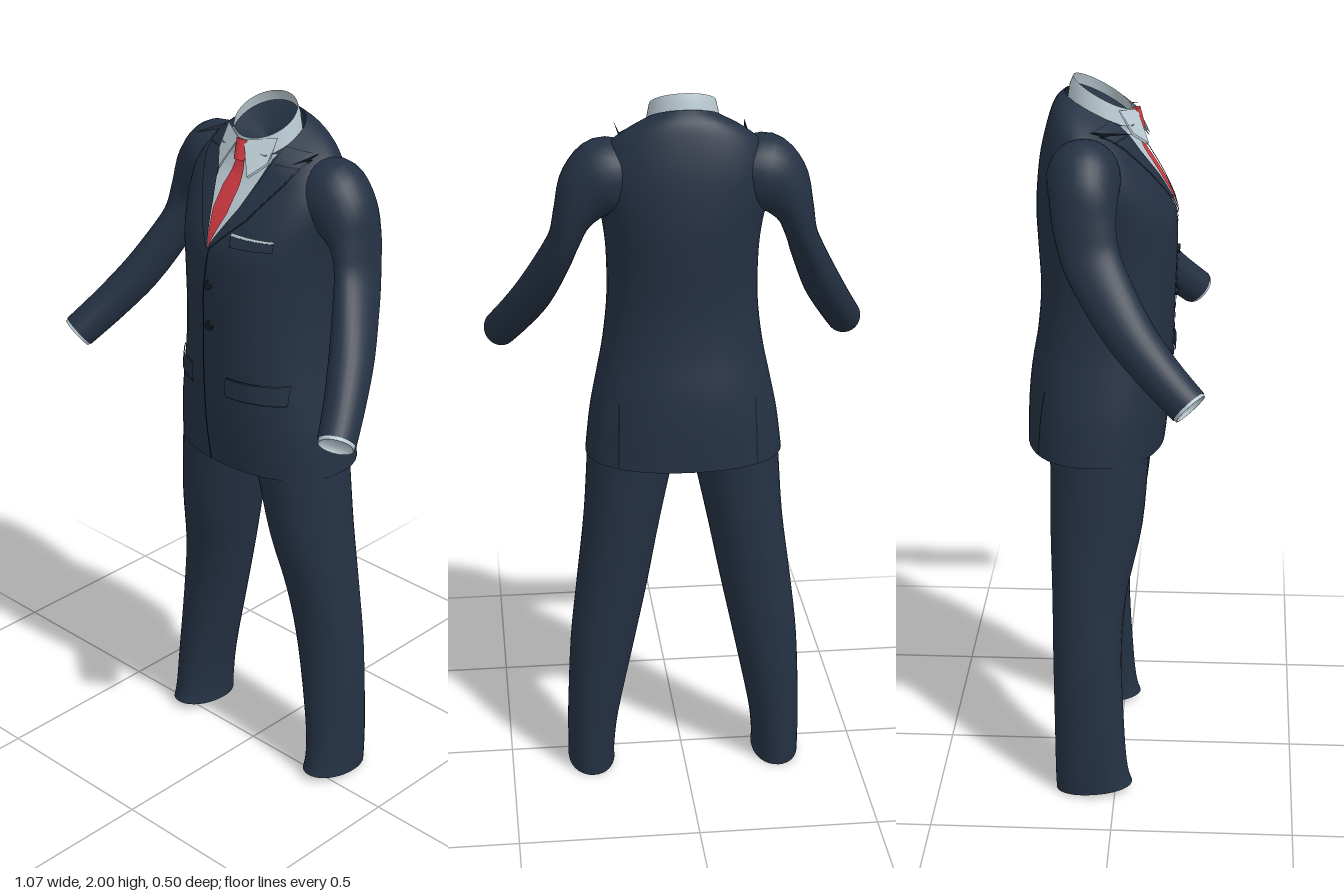
import * as THREE from 'three';

const mat = (name, color) => {
  const m = new THREE.MeshStandardMaterial({ color, side: THREE.DoubleSide });
  m.name = name;
  return m;
};

// Catmull-Rom interpolation of rows of numbers
function smooth(rows, steps) {
  const out = [], last = rows.length - 1;
  for (let i = 0; i < last; i++) {
    const a = rows[Math.max(i - 1, 0)], b = rows[i], c = rows[i + 1], d = rows[Math.min(i + 2, last)];
    for (let s = 0; s < steps; s++) {
      const t = s / steps;
      out.push(b.map((v, k) => v + 0.5 * t * (c[k] - a[k] + t * (2 * a[k] - 5 * v + 4 * c[k] - d[k]
        + t * (3 * (v - c[k]) + d[k] - a[k])))));
    }
  }
  out.push(rows[last]);
  return out;
}

// Skin over a list of closed rings
function loft(rings, flip = false) {
  const n = rings[0].length, pos = [], idx = [];
  rings.forEach(r => r.forEach(p => pos.push(p.x, p.y, p.z)));
  for (let i = 0; i < rings.length - 1; i++) {
    for (let j = 0; j < n; j++) {
      const a = i * n + j, b = i * n + (j + 1) % n;
      if (flip) idx.push(a, b, a + n, b, b + n, a + n);
      else idx.push(a, a + n, b, b, a + n, b + n);
    }
  }
  return surface(pos, idx);
}

function surface(pos, idx) {
  const g = new THREE.BufferGeometry();
  g.setAttribute('position', new THREE.Float32BufferAttribute(pos, 3));
  g.setIndex(idx);
  g.computeVertexNormals();
  return g;
}

// Level ring of superellipse shape; tilt raises its back
function ring([y, cx, hw, zf, zb, tilt = 0], p = 2, n = 48) {
  const zc = (zf + zb) / 2, hz = (zf - zb) / 2;
  const pw = v => Math.sign(v) * Math.abs(v) ** (2 / p);
  return Array.from({ length: n }, (_, i) => {
    const a = i / n * Math.PI * 2, dz = hz * pw(Math.sin(a));
    return new THREE.Vector3(cx + hw * pw(Math.cos(a)), y - tilt * dz, zc + dz);
  });
}

// Ring square to a path direction
function pathRing(c, t, ru, rv, side, n = 28) {
  const u = new THREE.Vector3(0, 0, 1).cross(t).normalize(), v = u.clone().cross(t);
  return Array.from({ length: n }, (_, i) => {
    const a = i / n * Math.PI * 2;
    const q = c.clone().addScaledVector(u, ru * Math.cos(a)).addScaledVector(v, rv * Math.sin(a));
    q.x *= side;
    return q;
  });
}

export function createModel() {
  const group = new THREE.Group();
  const suit = mat('navy cloth', 0x243143), seam = mat('dark seam', 0x151d29);
  const shirt = mat('pale shirt', 0xb9c9d1), shade = mat('shirt fold', 0x98a8b0), red = mat('red tie', 0xd03a42);
  const add = (name, geo, m) => {
    const mesh = new THREE.Mesh(geo, m);
    mesh.name = name;
    group.add(mesh);
    return mesh;
  };

  // Jacket body: y, centre x, half width, front z, back z, tilt
  const body = smooth([
    [0.985, 0, 0.272, 0.125, -0.255, 0], [1.1, 0, 0.258, 0.138, -0.252, 0], [1.2, 0, 0.238, 0.145, -0.243, 0],
    [1.3, 0, 0.218, 0.148, -0.226, 0], [1.42, 0, 0.205, 0.152, -0.216, 0], [1.55, 0, 0.206, 0.156, -0.222, 0],
    [1.64, 0, 0.216, 0.15, -0.226, 0], [1.72, 0, 0.232, 0.114, -0.222, 0], [1.79, 0, 0.232, 0.08, -0.212, 0.1],
    [1.85, 0, 0.208, 0.055, -0.192, 0.3], [1.885, 0, 0.162, 0.045, -0.174, 0.45], [1.915, 0, 0.1, 0.036, -0.148, 0.5],
  ], 4);
  const jacket = add('jacketBody', loft(body.map(r => ring(r, 2.25))), suit);

  // Thin plate between two outlines, laid on the jacket surface
  const ray = new THREE.Raycaster();
  const depth = (x, y, dir) => {
    ray.set(new THREE.Vector3(x, y, 2 * dir), new THREE.Vector3(0, 0, -dir));
    const hit = ray.intersectObject(jacket)[0];
    return hit && hit.point.z * dir > -0.08 ? hit.point.z : 0.036 * dir;
  };
  const along = (pts, t) => {
    const f = t * (pts.length - 1), i = Math.min(Math.floor(f), pts.length - 2), k = f - i;
    return pts[i].map((v, j) => v + (pts[i + 1][j] - v) * k);
  };
  function plate(name, m, A, B, off, dir = 1, rows = 18, cols = 6) {
    const pos = [], idx = [];
    for (let i = 0; i <= rows; i++) {
      const a = along(A, i / rows), b = along(B, i / rows);
      for (let j = 0; j <= cols; j++) {
        const [x, y] = along([a, b], j / cols);
        pos.push(x, y, depth(x, y, dir) + off * dir);
        if (i < rows && j < cols) {
          const p = i * (cols + 1) + j, q = p + cols + 1;
          idx.push(p, q, p + 1, p + 1, q, q + 1);
        }
      }
    }
    return add(name, surface(pos, idx), m);
  }
  const line = (name, pts, dx, dy, off = 0.004, dir = 1) =>
    plate(name, seam, pts, pts.map(([x, y]) => [x + dx, y + dy]), off, dir, 18, 1);

  // Shirt front and tie
  plate('shirtFront', shirt, [[-0.017, 1.635], [-0.06, 1.75], [-0.092, 1.885]],
    [[-0.013, 1.635], [0.045, 1.75], [0.092, 1.885]], 0.003, 1, 18, 12);
  plate('tieBlade', red, [[-0.015, 1.64], [-0.035, 1.73], [-0.033, 1.79], [-0.014, 1.86]],
    [[-0.013, 1.64], [0.018, 1.73], [0.022, 1.79], [0.014, 1.86]], 0.009);
  add('tieKnot', new THREE.CylinderGeometry(0.022, 0.014, 0.055, 12), red).position.set(0, 1.882, 0.043);
  group.children.at(-1).rotation.x = -0.4;

  // Standing shirt collar and dark neck opening
  add('shirtCollar', loft([[1.895, 0, 0.1, 0.045, -0.14, 0.5], [1.93, 0, 0.094, 0.036, -0.135, 0.53],
    [1.957, 0, 0.088, 0.03, -0.125, 0.55]].map(r => ring(r))), shirt);
  add('neckLining', loft([[1.927, 0, 0.092, 0.034, -0.133, 0.53],
    [1.89, 0, 0.001, -0.049, -0.051, 0]].map(r => ring(r))), suit);

  for (const s of [1, -1]) {
    const side = s > 0 ? 'left' : 'right';
    const mir = pts => pts.map(([x, y]) => [x < 0 ? x : x * s, y]);

    // Collar wing with its lower fold line
    const wing = (name, m, d, dz) => add(name, surface([0.01, 1.912, 0.045 + dz, 0.088, 1.925, 0.002 + dz,
      0.088, 1.865 - d, 0.038 + dz, 0.052, 1.83 - d, 0.078 + dz].map((v, i) => i % 3 ? v : v * s),
    s > 0 ? [0, 3, 1, 3, 2, 1] : [0, 1, 3, 3, 1, 2]), m);
    wing(side + 'CollarWing', shirt, 0, 0);
    wing(side + 'CollarFold', shade, 0.006, -0.003);

    // Lapel with edge and notch
    const outer = mir([[0.17, 1.885], [0.142, 1.82], [0.078, 1.725], [-0.015, 1.632]]);
    plate(side + 'Lapel', suit, mir([[0.1, 1.9], [0.088, 1.85], [0.045, 1.745], [-0.015, 1.64]]), outer, 0.008);
    line(side + 'LapelEdge', outer, 0.005 * s, 0, 0.006);
    line(side + 'LapelNotch', mir([[0.1, 1.86], [0.158, 1.855]]), 0, 0.004, 0.01);

    // Pocket flap
    const [x0, x1] = s > 0 ? [0.04, 0.2] : [-0.2, -0.09];
    plate(side + 'PocketFlap', suit, [[x0, 1.27], [x1, 1.268]], [[x0, 1.218], [x1, 1.216]], 0.008);
    line(side + 'PocketFlapEdge', [[x0, 1.218], [x1, 1.216]], 0, -0.005, 0.006);
    line(side + 'PocketSeam', [[x0, 1.27], [x1, 1.268]], 0, 0.003);

    // Back vent
    line(side + 'Vent', [[0.19 * s, 0.99], [0.185 * s, 1.17]], 0.004, 0, 0.003, -1);

    // Sleeve: centre x, y, z, radius across, radius front to back
    const rows = smooth([
      [0.13, 1.79, -0.085, 0.07, 0.08], [0.2, 1.775, -0.085, 0.106, 0.097], [0.255, 1.735, -0.083, 0.088, 0.09],
      [0.295, 1.67, -0.078, 0.055, 0.082], [0.318, 1.6, -0.063, 0.043, 0.077], [0.345, 1.53, -0.03, 0.046, 0.073],
      [0.395, 1.42, 0.04, 0.052, 0.066], [0.445, 1.33, 0.12, 0.051, 0.058], [0.49, 1.255, 0.2, 0.049, 0.053],
    ], 4);
    const pts = rows.map(r => new THREE.Vector3(r[0], r[1], r[2]));
    const dirs = pts.map((p, i) => pts[Math.min(i + 1, pts.length - 1)].clone().sub(pts[Math.max(i - 1, 0)]).normalize());
    add(side + 'Sleeve', loft(rows.map((r, i) => pathRing(pts[i], dirs[i], r[3], r[4], s)), s < 0), suit);

    // Shirt cuff, closed a little inside the sleeve
    const end = pts.at(-1), t = dirs.at(-1);
    add(side + 'Cuff', loft([[-0.02, 0.94], [0.008, 0.94], [0.008, 0.86], [-0.008, 0.84], [-0.008, 0.01]].map(
      ([d, k]) => pathRing(end.clone().addScaledVector(t, d), t, 0.049 * k, 0.053 * k, s)), s < 0), shirt);

    // Trouser leg: y, inner x, outer x, front z, back z, tilt
    const leg = smooth([
      [0.012, 0.203, 0.337, 0.048, -0.167, -0.1], [0.06, 0.203, 0.337, 0.036, -0.169, -0.05],
      [0.17, 0.19, 0.336, 0.026, -0.171, 0], [0.4, 0.143, 0.325, 0.016, -0.176, 0],
      [0.58, 0.105, 0.305, 0.028, -0.179, 0], [0.78, 0.065, 0.28, 0.07, -0.185, 0],
      [0.98, 0.02, 0.266, 0.086, -0.186, 0], [1.05, -0.01, 0.255, 0.09, -0.19, 0], [1.2, -0.02, 0.22, 0.09, -0.185, 0],
    ], 4).map(([y, a, b, zf, zb, k]) => [y, s * (a + b) / 2, (b - a) / 2, zf, zb, k]);
    add(side + 'TrouserLeg', loft(leg.map(r => ring(r, 2.1, 36))), suit);
    const [y, cx] = leg[0];
    add(side + 'TrouserHem', loft([ring([y, cx, 0.001, -0.059, -0.06], 2.1, 36), ring(leg[0], 2.1, 36)]), suit);
  }

  // Front closure, buttons and chest pocket
  line('frontClosure', [[-0.015, 1.635], [-0.035, 1.5], [-0.045, 1.3], [-0.045, 1.1], [-0.04, 0.99]], 0.005, 0);
  for (const y of [1.53, 1.41]) {
    const b = add('button', new THREE.CylinderGeometry(0.013, 0.013, 0.008, 16), seam);
    b.rotation.x = Math.PI / 2;
    b.position.set(-0.015, y, depth(-0.015, y, 1) + 0.003);
  }
  plate('chestPocket', suit, [[0.05, 1.682], [0.165, 1.678]], [[0.055, 1.655], [0.165, 1.655]], 0.007);
  plate('pocketSquare', shirt, [[0.05, 1.69], [0.165, 1.684]], [[0.05, 1.682], [0.165, 1.678]], 0.006);
  return group;
}
